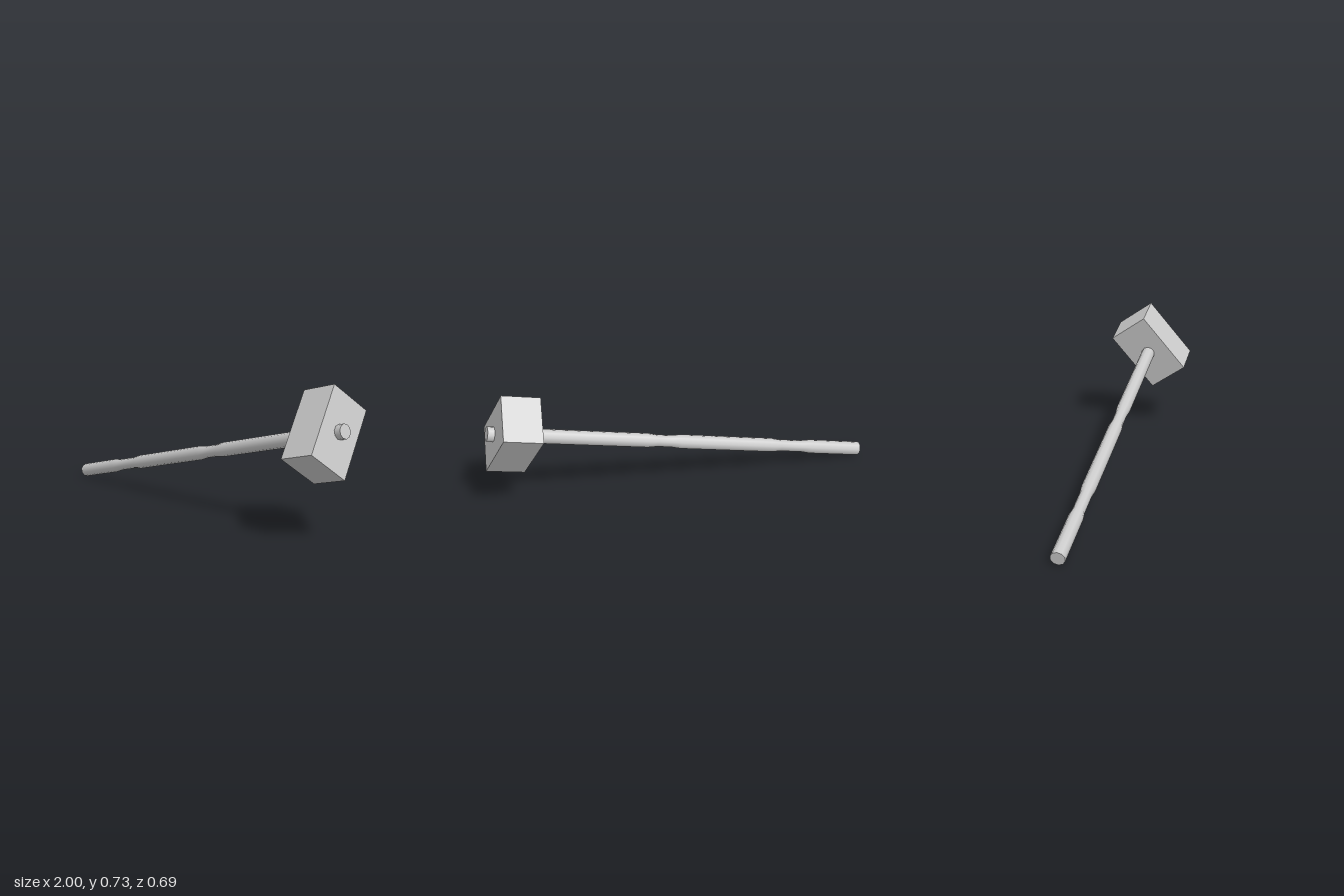
import * as THREE from 'three';

const SIDES = 10;
const HANDLE_LENGTH = 2.08;
const R = 0.037; // grip radius
const N = 0.031; // radius of the worn, narrower stretches

export function createModel() {
  const mat = new THREE.MeshStandardMaterial({ color: 0xcccccc });
  const add = (parent, geometry, name, y = 0) => {
    const mesh = new THREE.Mesh(geometry, mat);
    mesh.name = name;
    mesh.position.y = y;
    parent.add(mesh);
    return mesh;
  };

  // Hammer built upright: handle along local y, head length along local z
  const hammer = new THREE.Group();
  hammer.name = 'hammer';

  // Handle: thick grip with two narrowed stretches
  const handle = new THREE.Group();
  handle.name = 'handle';
  hammer.add(handle);
  const profile = [[R, 0]];
  for (const [start, end] of [[0.30, 0.53], [1.06, 1.24]]) {
    profile.push([R, start], [N, start + 0.05], [N, end - 0.05], [R, end]);
  }
  profile.push([R, HANDLE_LENGTH]);
  const points = profile.map(([r, y]) => new THREE.Vector2(r, y));
  add(handle, new THREE.LatheGeometry(points, SIDES), 'handleShaft');

  // Flat ends of the handle, corners lined up with the shaft
  const cap = () => new THREE.CircleGeometry(R, SIDES, Math.PI / 2);
  add(handle, cap(), 'handleBottom').rotation.x = Math.PI / 2;
  add(handle, cap(), 'handleTop', HANDLE_LENGTH).rotation.x = -Math.PI / 2;

  // Head: plain block with the handle passing through it
  add(hammer, new THREE.BoxGeometry(0.24, 0.196, 0.38), 'head', 2.045 - 0.098);

  // Lay the hammer at a slant, head raised towards +x
  const along = new THREE.Vector3(0.948, 0.2315, 0.217).normalize();
  const side = new THREE.Vector3(0.015, -0.299, 0.235).cross(along).negate().normalize();
  const length = new THREE.Vector3().crossVectors(side, along);
  hammer.quaternion.setFromRotationMatrix(new THREE.Matrix4().makeBasis(side, along, length));
  hammer.position.set(-0.988, 0.036, -0.307);

  const model = new THREE.Group();
  model.name = 'model';
  model.add(hammer);
  return model;
}
